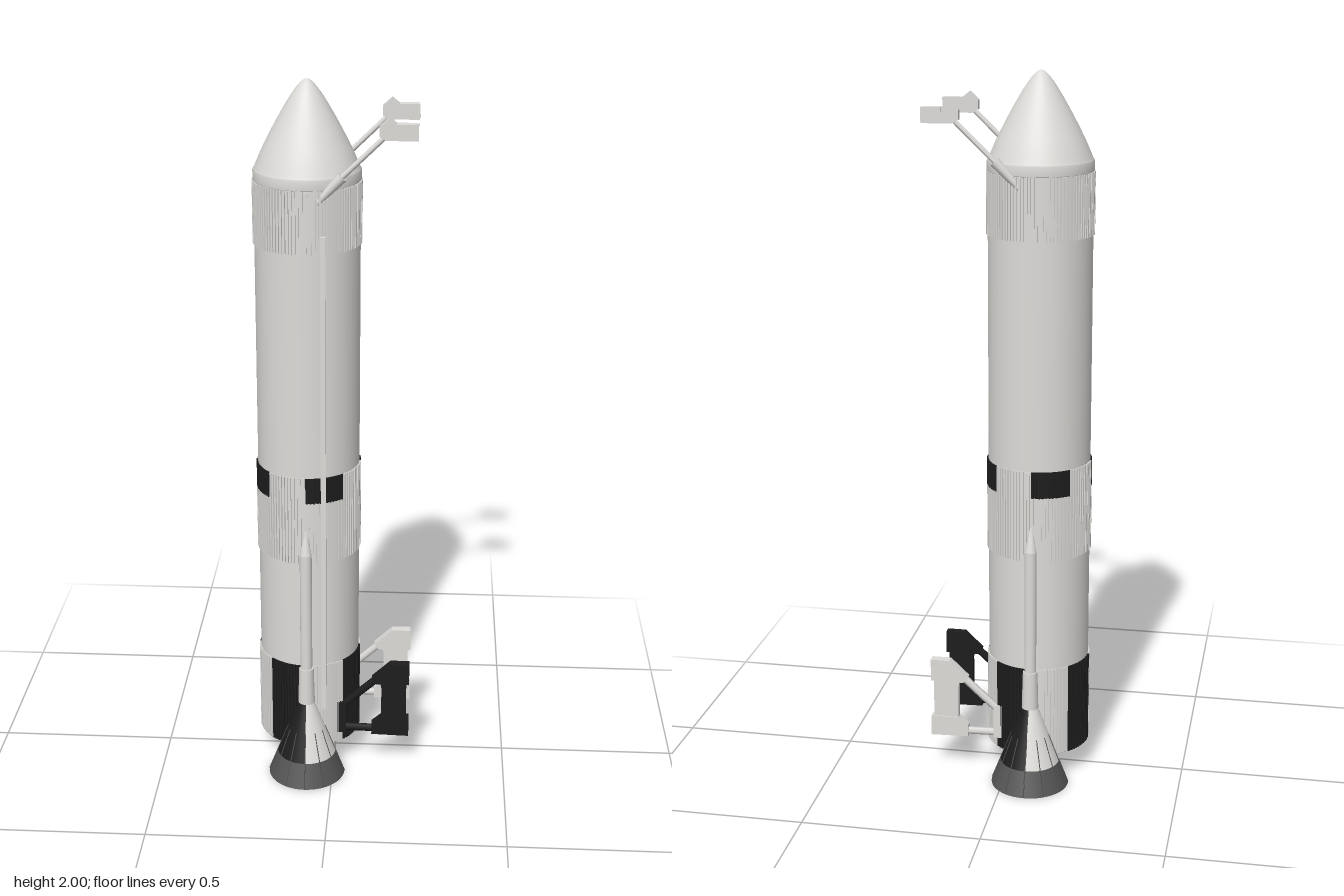
import * as THREE from 'three';

const AXIS = -0.075; // x of the hull axis
const flat = (name, color, side = THREE.FrontSide) => {
  const m = new THREE.MeshStandardMaterial({ color, side });
  m.name = name;
  return m;
};

export function createModel() {
  const white = flat('white paint', 0xdddbd8, THREE.DoubleSide);
  const black = flat('black paint', 0x1d1d1d, THREE.DoubleSide);
  const grey = flat('dark grey metal', 0x555555, THREE.DoubleSide);

  const root = new THREE.Group();
  root.name = 'rocket';
  const add = (parent, name, geo, mat, x = 0, y = 0, z = 0) => {
    const m = new THREE.Mesh(geo, mat);
    m.name = name;
    m.position.set(x, y, z);
    parent.add(m);
    return m;
  };
  // Tapered rod between two points
  const rod = (parent, name, a, b, ra, rb, mat, sides = 10) => {
    const A = new THREE.Vector3(...a), B = new THREE.Vector3(...b);
    const d = B.clone().sub(A);
    const m = add(parent, name, new THREE.CylinderGeometry(rb, ra, d.length(), sides), mat);
    m.position.copy(A).add(B).multiplyScalar(0.5);
    m.quaternion.setFromUnitVectors(new THREE.Vector3(0, 1, 0), d.normalize());
    return m;
  };
  // Side-view outline extruded around z
  const plate = (parent, name, pts, z, depth, mat) => {
    const s = new THREE.Shape(pts.map(p => new THREE.Vector2(...p)));
    return add(parent, name, new THREE.ExtrudeGeometry(s, { depth, bevelEnabled: false }), mat, 0, 0, z - depth / 2);
  };

  // Hull
  const hull = new THREE.Group();
  hull.name = 'hull';
  hull.position.x = AXIS;
  root.add(hull);
  add(hull, 'hullTube', new THREE.CylinderGeometry(0.143, 0.143, 1.66, 96, 1, true), white, 0, 0.91, 0);
  const base = add(hull, 'hullBase', new THREE.CircleGeometry(0.146, 96), grey, 0, 0.08, 0);
  base.rotation.x = Math.PI / 2;

  // Nose cone with rounded tip
  const nose = [[0.143, 1.735], [0.145, 1.737], [0.145, 1.762], [0.141, 1.768]].map(p => new THREE.Vector2(...p));
  add(hull, 'noseCollar', new THREE.LatheGeometry(nose, 64), white);
  const tip = new THREE.SplineCurve([[0.141, 1.768], [0.122, 1.812], [0.098, 1.86], [0.073, 1.906], [0.047, 1.95],
    [0.026, 1.98], [0.01, 1.996], [0.0001, 2]].map(p => new THREE.Vector2(...p)));
  add(hull, 'noseCone', new THREE.LatheGeometry(tip.getPoints(28), 64), white);

  // Corrugated band: eight sectors of square ribs
  const sector = (i, y0, y1, mat, name) => {
    const n = 12, step = Math.PI / 4 / n, a0 = i * Math.PI / 4, s = new THREE.Shape();
    const P = (a, r, f = 'lineTo') => s[f](Math.sin(a) * r, -Math.cos(a) * r);
    P(a0, 0.14, 'moveTo');
    for (let k = 0; k < n; k++) {
      const a = a0 + k * step;
      P(a, 0.1435); P(a + step * 0.25, 0.1435);
      P(a + step * 0.25, 0.1475); P(a + step * 0.75, 0.1475);
      P(a + step * 0.75, 0.1435);
    }
    P(a0 + n * step, 0.1435);
    for (let k = n; k > 0; k--) P(a0 + k * step, 0.14);
    const g = new THREE.ExtrudeGeometry(s, { depth: y1 - y0, bevelEnabled: false });
    g.rotateX(-Math.PI / 2);
    add(hull, name, g, mat, 0, y0, 0);
  };
  for (let i = 0; i < 8; i++) {
    sector(i, 1.565, 1.735, white, 'upperRibs');
    sector(i, 0.67, 0.855, white, 'middleRibs');
    sector(i, 0.855, 0.93, i % 2 ? white : black, 'middleChecker');
    sector(i, 0.08, 0.345, i % 2 ? black : white, 'baseChecker');
  }

  // Cable duct along the front
  add(root, 'cableDuct', new THREE.BoxGeometry(0.014, 1.41, 0.014), white, -0.025, 0.91, 0.14);

  // Half-cone fairing with a slim tank above it; z is mirrored for the back
  const fairing = (side, rightMat, leftMat) => {
    const g = new THREE.Group();
    g.name = side > 0 ? 'frontFairing' : 'backFairing';
    g.position.set(AXIS, 0, side * 0.146);
    g.scale.z = side;
    root.add(g);
    const H = 0.235, R = 0.11, T = 0.021, ySkirt = 0.07;
    const rad = y => R + (T - R) * y / H;
    const deg = Math.PI / 180;
    const shell = (name, y0, y1, a, b, mat) => add(g, name,
      new THREE.CylinderGeometry(rad(y1), rad(y0), y1 - y0, 24, 1, true, a * deg, (b - a) * deg), mat, 0, (y0 + y1) / 2, 0);
    shell('skirt', 0, ySkirt, -100, 90, grey);
    shell('coneRightHalf', ySkirt, H, -100, 0, rightMat);
    shell('coneLeftHalf', ySkirt, H, 0, 90, leftMat);
    for (let a = -90; a <= 90; a += 30) {
      const s = Math.sin(a * deg), c = Math.cos(a * deg);
      rod(g, 'seam', [s * R, 0.001, c * R], [s * rad(0.15), 0.15, c * rad(0.15)], 0.0015, 0.0015, grey, 4);
    }
    // Tank, collar and pointed cap
    add(g, 'tankCollar', new THREE.CylinderGeometry(0.021, 0.024, 0.11, 12), white, 0, 0.285, 0);
    add(g, 'tank', new THREE.CylinderGeometry(0.017, 0.017, 0.36, 20), white, 0, 0.52, -0.001);
    rod(g, 'tankCap', [0, 0.7, -0.001], [0, 0.78, -0.008], 0.017, 0.003, white, 20);
  };
  fairing(1, black, white);
  fairing(-1, white, black);

  // Upper arms and lower panels, one pair on each side
  for (const side of [1, -1]) {
    const arm = new THREE.Group();
    arm.name = side > 0 ? 'frontUpperArm' : 'backUpperArm';
    root.add(arm);
    const z = side * 0.132;
    rod(arm, 'armRoot', [-0.048, 1.695, z], [0.025, 1.772, z], 0.008, 0.015, white, 8);
    rod(arm, 'armRod', [0.02, 1.767, z], [0.15, 1.893, z], 0.007, 0.007, white, 8);
    plate(arm, 'armHead', [[0.165, 1.87], [0.22, 1.87], [0.22, 1.912], [0.165, 1.912]], z, 0.026, white);
    plate(arm, 'armNeck', [[0.12, 1.88], [0.136, 1.87], [0.165, 1.87], [0.165, 1.912], [0.145, 1.928], [0.12, 1.905]],
      z, 0.02, white);

    const panel = new THREE.Group();
    panel.name = side > 0 ? 'frontPanel' : 'backPanel';
    root.add(panel);
    const mat = side > 0 ? black : white, pz = side * 0.104;
    plate(panel, 'panelBody', [[0.14, 0.14], [0.212, 0.14], [0.212, 0.3], [0.132, 0.3], [0.14, 0.26]], pz, 0.018, mat);
    plate(panel, 'panelTop', [[0.112, 0.29], [0.125, 0.275], [0.22, 0.275], [0.22, 0.34], [0.165, 0.34]], pz, 0.026, mat);
    plate(panel, 'panelFoot', [[0.112, 0.108], [0.22, 0.105], [0.22, 0.165], [0.14, 0.165], [0.112, 0.14]], pz, 0.026, mat);
    rod(panel, 'upperStrut', [0.015, 0.185, pz], [0.135, 0.295, pz], 0.011, 0.011, mat, 6);
    rod(panel, 'lowerStrut', [0.005, 0.125, pz], [0.13, 0.122, pz], 0.011, 0.011, mat, 6);
    add(panel, 'strutMount', new THREE.BoxGeometry(0.035, 0.1, 0.022), mat, 0.02, 0.16, pz);
  }
  return root;
}
